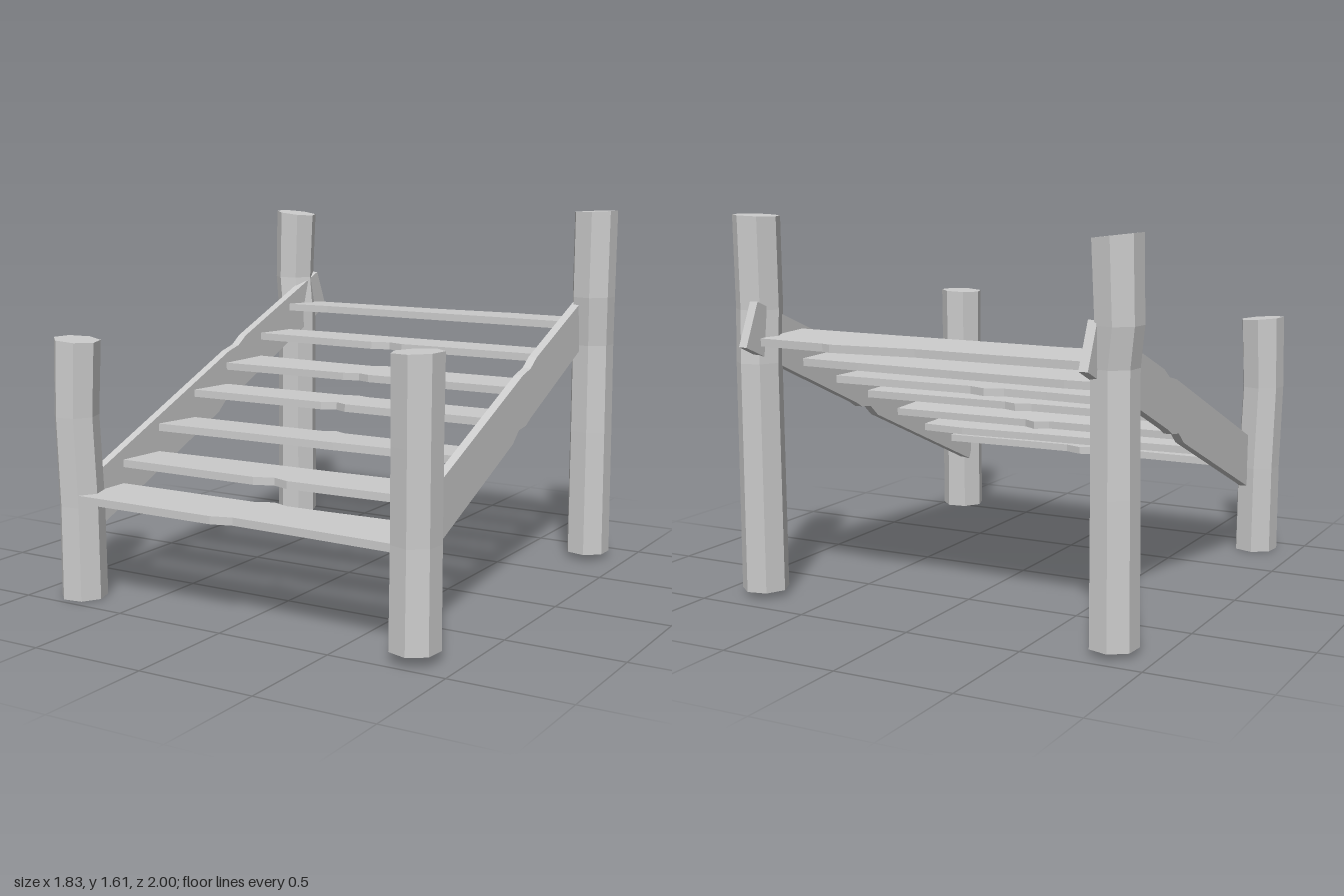
import * as THREE from 'three';

const material = new THREE.MeshStandardMaterial({
  color: 0xcccccc, flatShading: true, side: THREE.DoubleSide,
});

function addMesh(parent, geometry, name) {
  const mesh = new THREE.Mesh(geometry, material);
  mesh.name = name;
  parent.add(mesh);
  return mesh;
}

// Seven-sided log; rings are [x, y, z, radius] from bottom to top
function post(rings, turn, topTilt) {
  const n = rings.length - 1;
  const geo = new THREE.CylinderGeometry(1, 1, 1, 7, n, false, Math.PI / 2 - turn);
  const p = geo.attributes.position;
  for (let i = 0; i < p.count; i++) {
    const k = Math.round((p.getY(i) + 0.5) * n);
    const [x, y, z, r] = rings[k];
    const px = p.getX(i), pz = p.getZ(i);
    p.setXYZ(i, x + px * r, y + (k === n ? px * topTilt : 0), z + pz * r);
  }
  geo.computeVertexNormals();
  return geo;
}

// Plank between a front and a back edge, each a list of [x, z] from -x to +x
function plank(front, back, top, thickness, pitch) {
  const outline = [...front, ...[...back].reverse()].map(([x, z]) => new THREE.Vector2(x, -z));
  const geo = new THREE.ExtrudeGeometry(new THREE.Shape(outline), { depth: thickness, bevelEnabled: false });
  const mid = (front[0][1] + back[0][1]) / 2;
  geo.rotateX(-Math.PI / 2);
  geo.translate(0, -thickness / 2, -mid);
  geo.rotateX(-pitch);
  geo.translate(0, top - thickness / 2, mid);
  return geo;
}

export function createModel() {
  const model = new THREE.Group();
  model.name = 'woodenStairs';

  // Corner posts, each slightly bent
  const posts = new THREE.Group();
  posts.name = 'posts';
  model.add(posts);
  addMesh(posts, post([
    [-0.795, 0, 0.875, 0.1], [-0.8, 0.4, 0.87, 0.098],
    [-0.812, 0.78, 0.875, 0.096], [-0.805, 1.1, 0.867, 0.1],
  ], 0.1, -0.008), 'frontRightPost');
  addMesh(posts, post([
    [0.815, 0.045, 0.893, 0.102], [0.813, 0.45, 0.885, 0.1],
    [0.818, 0.82, 0.893, 0.1], [0.82, 1.163, 0.895, 0.102],
  ], 0.54, 0.004), 'frontLeftPost');
  addMesh(posts, post([
    [-0.82, 0.025, -0.85, 0.1], [-0.815, 0.6, -0.845, 0.097],
    [-0.808, 1.08, -0.838, 0.096], [-0.83, 1.24, -0.852, 0.096], [-0.82, 1.563, -0.855, 0.1],
  ], 0.07, -0.012), 'backRightPost');
  addMesh(posts, post([
    [0.812, 0.027, -0.818, 0.1], [0.81, 0.6, -0.822, 0.098],
    [0.806, 1.0, -0.828, 0.097], [0.812, 1.22, -0.81, 0.099], [0.812, 1.605, -0.817, 0.1],
  ], 0.47, 0.004), 'backLeftPost');

  // Sloping side boards with a worn notch, as [z, y]
  const board = [
    [0.82, 0.3], [0.91, 0.504], [-0.13, 0.94], [-0.21, 0.96], [-0.27, 1.0],
    [-0.92, 1.26], [-1.0, 1.08], [-0.22, 0.745], [-0.17, 0.718], [-0.1, 0.71], [-0.04, 0.66],
  ].map(([z, y]) => new THREE.Vector2(z, y));
  for (const side of [-1, 1]) {
    const geo = new THREE.ExtrudeGeometry(new THREE.Shape(board), { depth: 0.038, bevelEnabled: false });
    geo.rotateY(-Math.PI / 2);
    geo.translate(side * 0.757 + 0.019, 0, 0);
    addMesh(model, geo, side > 0 ? 'leftSideBoard' : 'rightSideBoard');
  }

  // Tread edges from front to back, chipped near the middle
  const edges = [
    [[-0.77, 0.95], [-0.07, 0.955], [0.02, 0.928], [0.4, 0.94], [0.75, 0.955]],
    [[-0.75, 0.665], [-0.06, 0.665], [0.02, 0.63], [0.1, 0.66], [0.3, 0.655], [0.75, 0.635]],
    [[-0.75, 0.415], [-0.4, 0.4], [0.15, 0.385], [0.52, 0.365], [0.75, 0.38]],
    [[-0.75, 0.147], [-0.06, 0.137], [0, 0.105], [0.06, 0.137], [0.75, 0.132]],
    [[-0.75, -0.11], [-0.1, -0.117], [-0.03, -0.138], [0.03, -0.117], [0.75, -0.12]],
    [[-0.75, -0.4], [-0.3, -0.375], [-0.1, -0.37], [-0.02, -0.4], [0.06, -0.37], [0.75, -0.37]],
    [[-0.75, -0.655], [-0.52, -0.665], [0, -0.645], [0.45, -0.63], [0.75, -0.615]],
    [[-0.75, -0.93], [-0.4, -0.923], [0, -0.912], [0.38, -0.938], [0.42, -0.927], [0.75, -0.905]],
  ];
  // Top height and pitch of each tread
  const levels = [
    [0.455, 0], [0.556, 0.025], [0.672, 0.045], [0.79, 0.03], [0.887, 0], [0.995, 0.03], [1.113, 0.04],
  ];
  const treads = new THREE.Group();
  treads.name = 'treads';
  model.add(treads);
  levels.forEach(([top, pitch], i) => {
    addMesh(treads, plank(edges[i], edges[i + 1], top, 0.033, pitch), 'tread' + (i + 1));
  });

  return model;
}
